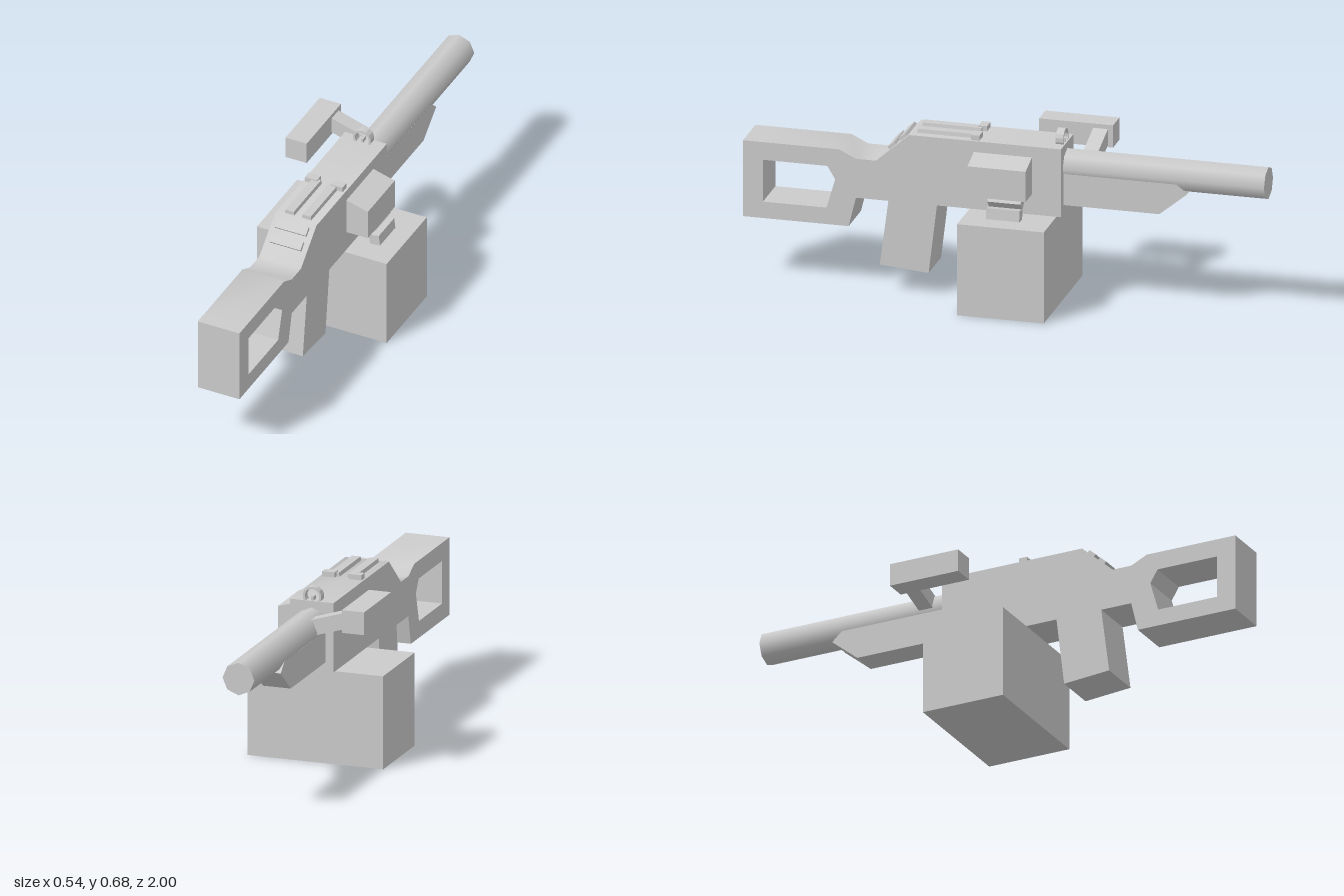
import * as THREE from 'three';
import { toCreasedNormals } from 'three/addons/utils/BufferGeometryUtils.js';

const material = new THREE.MeshStandardMaterial({ color: 0xcccccc });
const CX = 0.006; // centre line of the body

const toPoints = (list) => list.map(([a, b]) => new THREE.Vector2(a, b));

function makeShape(outline, hole) {
  const shape = new THREE.Shape(toPoints(outline));
  if (hole) shape.holes.push(new THREE.Path(toPoints(hole)));
  return shape;
}

export function createModel() {
  const group = new THREE.Group();

  function add(name, geometry) {
    const mesh = new THREE.Mesh(geometry, material);
    mesh.name = name;
    group.add(mesh);
    return mesh;
  }

  // Box given by its limits on each axis
  function box(name, [x0, x1], [y0, y1], [z0, z1]) {
    const mesh = add(name, new THREE.BoxGeometry(x1 - x0, y1 - y0, z1 - z0));
    mesh.position.set((x0 + x1) / 2, (y0 + y1) / 2, (z0 + z1) / 2);
    return mesh;
  }

  // Side profile of (z, y) points, extruded across x
  function sideProfile(name, [x0, x1], outline, hole, crease = 0.3) {
    const geometry = new THREE.ExtrudeGeometry(makeShape(outline, hole), { depth: x1 - x0, bevelEnabled: false });
    geometry.rotateY(-Math.PI / 2);
    geometry.translate(x1, 0, 0);
    return add(name, toCreasedNormals(geometry, crease));
  }

  // Front profile of (x, y) points, extruded along z
  function frontProfile(name, [z0, z1], outline, hole) {
    const geometry = new THREE.ExtrudeGeometry(makeShape(outline, hole), { depth: z1 - z0, bevelEnabled: false });
    geometry.translate(0, 0, z0);
    return add(name, geometry);
  }

  // Receiver, grip and open stock in one profile
  sideProfile('body', [-0.08, 0.093], [
    [1, 0.545], [0.63, 0.545], [0.565, 0.514], [0.488, 0.514], [0.36, 0.628], [-0.225, 0.628],
    [-0.225, 0.36], [0.253, 0.36], [0.285, 0.09], [0.473, 0.105], [0.44, 0.36],
    [0.565, 0.36], [0.593, 0.245], [1, 0.245],
  ], [[0.923, 0.475], [0.675, 0.475], [0.645, 0.425], [0.678, 0.31], [0.923, 0.31]], 0.77);

  // Eight-sided barrel with smooth sides
  const barrel = add('barrel', new THREE.CylinderGeometry(0.063, 0.063, 0.8, 8));
  barrel.rotation.x = Math.PI / 2;
  barrel.position.set(CX, 0.54, -0.6);

  sideProfile('handguard', [CX - 0.055, CX + 0.055], [
    [-0.2, 0.52], [-0.66, 0.52], [-0.7, 0.484], [-0.595, 0.397], [-0.2, 0.397],
  ]);

  box('magazine', [-0.27, 0.268], [0, 0.36], [-0.207, 0.127]);

  // Housing and bent lever on the left side
  frontProfile('sideHousing', [-0.113, 0.111], [[0.09, 0.586], [0.182, 0.56], [0.182, 0.44], [0.09, 0.44]]);
  frontProfile('leverJoint', [-0.092, 0.036], [
    [0.117, 0.424], [0.128, 0.441], [0.167, 0.441], [0.177, 0.426], [0.15, 0.396],
  ]);
  frontProfile('leverHandle', [-0.092, 0.036], [[0.148, 0.398], [0.19, 0.405], [0.195, 0.363], [0.154, 0.358]]);

  // Offset sight on an arm on the right side
  frontProfile('sightArm', [-0.335, -0.278], [[-0.03, 0.588], [-0.165, 0.63], [-0.165, 0.567], [-0.03, 0.525]]);
  box('sightBox', [-0.25, -0.162], [0.558, 0.646], [-0.355, -0.07]);

  // Paired top rails with end blocks
  for (const side of [-1, 1]) {
    const x = (d) => CX + side * d;
    frontProfile('topRail', [0.11, 0.338], [[x(0.014), 0.62], [x(0.018), 0.643], [x(0.052), 0.643], [x(0.056), 0.62]]);
    box('railBlock', [Math.min(x(0.028), x(0.078)), Math.max(x(0.028), x(0.078))], [0.62, 0.648], [0.092, 0.125]);
  }

  // Raised slats on the rear slope
  for (const [y, z] of [[0.606, 0.385], [0.567, 0.429]]) {
    const slat = add('rearSlat', new THREE.BoxGeometry(0.13, 0.024, 0.034));
    slat.position.set(CX, y, z);
    slat.rotation.x = Math.atan2(0.114, 0.128);
  }

  // Ring sight with a centre post
  const circle = (r) => Array.from({ length: 14 }, (_, i) => {
    const a = (i / 14) * Math.PI * 2 + Math.PI / 2;
    return [CX + 0.001 + r * Math.cos(a), 0.644 + r * Math.sin(a)];
  });
  frontProfile('ringSight', [-0.22, -0.19], circle(0.037), circle(0.029));
  box('sightPost', [0.002, 0.011], [0.615, 0.644], [-0.218, -0.192]);

  return group;
}
